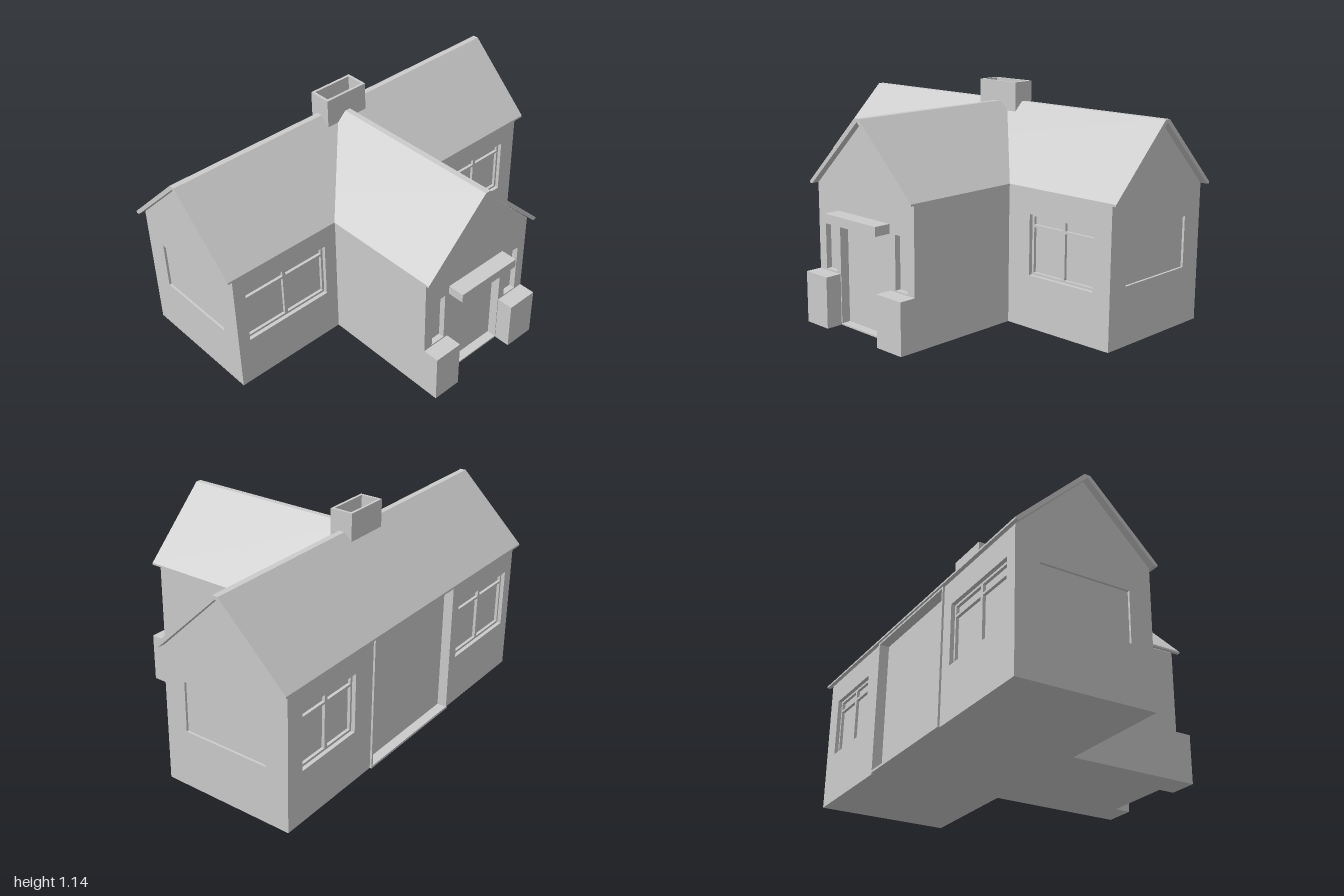
import * as THREE from 'three';

const material = new THREE.MeshStandardMaterial({ color: 0xcccccc, flatShading: true });
const T = 0.05;        // wall thickness
const EAVE = 0.69;     // wall height
const HALF = 0.345;    // half width of both wings

function polygon(points) {
  return new THREE.Shape(points.map(([x, y]) => new THREE.Vector2(x, y)));
}

function rectPath(u0, u1, y0, y1) {
  return polygon([[u0, y0], [u1, y0], [u1, y1], [u0, y1]]);
}

function add(parent, name, geometry) {
  const mesh = new THREE.Mesh(geometry, material);
  mesh.name = name;
  parent.add(mesh);
  return mesh;
}

// Box given by its lower and upper corner
function box(parent, name, [x0, y0, z0], [x1, y1, z1]) {
  const mesh = add(parent, name, new THREE.BoxGeometry(x1 - x0, y1 - y0, z1 - z0));
  mesh.position.set((x0 + x1) / 2, (y0 + y1) / 2, (z0 + z1) / 2);
  return mesh;
}

function slab(parent, name, shape, depth, z) {
  const mesh = add(parent, name, new THREE.ExtrudeGeometry(shape, { depth, bevelEnabled: false }));
  mesh.position.z = z;
  return mesh;
}

// Wall facing +z in its own group at the given distance, then turned to its side.
// Each opening gets a recessed panel, and a window also gets its bars.
function wall(parent, { name, angle, dist, u0, u1, gable = false, openings = [] }) {
  const side = new THREE.Group();
  side.name = name;
  side.rotation.y = angle;
  parent.add(side);
  const top = gable ? [[u1, EAVE], [(u0 + u1) / 2, 1.025], [u0, EAVE]] : [[u1, EAVE], [u0, EAVE]];
  const shape = polygon([[u0, 0], [u1, 0], ...top]);
  openings.forEach(({ a, b, y0, y1, recess, kind }) => {
    shape.holes.push(rectPath(a, b, y0, y1));
    const back = dist - recess;
    box(side, kind + 'Panel', [a, y0, back - 0.01], [b, y1, back]);
    if (kind === 'window') {
      const mid = (a + b) / 2;
      const f = 0.012;
      const front = back + 0.015;
      const frame = rectPath(a, b, y0, y1);
      frame.holes.push(rectPath(a + f, b - f, y0 + f, y1 - f));
      slab(side, 'windowFrame', frame, 0.015, back);
      box(side, 'windowMullion', [mid - 0.009, y0, back], [mid + 0.009, y1, front]);
      box(side, 'windowTransom', [a, y1 - 0.065, back], [b, y1 - 0.053, front]);
    }
  });
  slab(side, name + 'Surface', shape, T, dist - T);
  return side;
}

// Roof slab with a narrow flat ridge, running along local z
function roof(parent, name, length) {
  const profile = polygon([
    [-0.365, 0.69], [-0.348, 0.69], [0, 1.025], [0.348, 0.69], [0.365, 0.69],
    [0.365, 0.7], [0.015, 1.04], [-0.015, 1.04], [-0.365, 0.7],
  ]);
  return slab(parent, name, profile, length, 0);
}

export function createModel() {
  const house = new THREE.Group();
  house.name = 'house';

  // Floor
  box(house, 'mainFloor', [-0.69, 0, -0.96], [-0.002, 0.006, 0.96]);
  box(house, 'wingFloor', [-0.002, 0, -0.34], [0.62, 0.006, 0.34]);

  // Gable ends of the main wing, each with a shallow panel
  for (const s of [1, -1]) {
    const span = (a, b) => (s > 0 ? [a, b] : [-b, -a]);
    const [u0, u1] = span(-0.69, 0);
    const [a, b] = span(-0.57, -0.115);
    wall(house, {
      name: s > 0 ? 'frontGable' : 'backGable', angle: s > 0 ? 0 : Math.PI, dist: 0.965, u0, u1, gable: true,
      openings: [{ a, b, y0: 0.29, y1: 0.545, recess: 0.012, kind: 'blind' }],
    });
  }

  // Long walls, in two pieces on each side, with a window in each piece
  for (const s of [1, -1]) {
    for (const [z0, z1, w0, w1] of [[HALF, 0.965, 0.415, 0.9], [-0.965, -HALF, -0.867, -0.478]]) {
      const span = (a, b) => (s > 0 ? [-b, -a] : [a, b]);
      const [u0, u1] = span(z0, z1);
      const [a, b] = span(w0, w1);
      wall(house, {
        name: s > 0 ? 'leftWall' : 'rightWall', angle: s * Math.PI / 2, dist: s > 0 ? 0 : 0.69, u0, u1,
        openings: [{ a, b, y0: 0.265, y1: 0.567, recess: 0.035, kind: 'window' }],
      });
    }
  }

  // Large framed bay on the right side
  const bay = new THREE.Group();
  bay.name = 'patioBay';
  bay.rotation.y = -Math.PI / 2;
  house.add(bay);
  const bayFrame = rectPath(-HALF, HALF, 0, EAVE);
  bayFrame.holes.push(rectPath(-HALF + 0.01, HALF - 0.01, 0.012, EAVE - 0.01));
  slab(bay, 'patioFrame', bayFrame, 0.06, 0.64);
  box(bay, 'patioPanel', [-HALF, 0, 0.635], [HALF, EAVE, 0.65]);

  // Cross wing: two side walls and the entrance gable
  wall(house, { name: 'wingFrontWall', angle: 0, dist: HALF, u0: 0, u1: 0.62 });
  wall(house, { name: 'wingBackWall', angle: Math.PI, dist: HALF, u0: -0.62, u1: 0 });
  wall(house, {
    name: 'entranceGable', angle: Math.PI / 2, dist: 0.62, u0: -HALF, u1: HALF, gable: true,
    openings: [
      { a: -0.185, b: 0.175, y0: 0.008, y1: 0.53, recess: 0.048, kind: 'door' },
      { a: -0.325, b: -0.215, y0: 0.265, y1: 0.53, recess: 0.03, kind: 'sidelight' },
      { a: 0.215, b: 0.325, y0: 0.265, y1: 0.53, recess: 0.03, kind: 'sidelight' },
    ],
  });

  // Porch piers and canopy
  box(house, 'porchPier', [0.61, 0, 0.19], [0.706, 0.258, HALF]);
  box(house, 'porchPier', [0.61, 0, -HALF], [0.706, 0.258, -0.178]);
  box(house, 'porchCanopy', [0.61, 0.528, -0.178], [0.706, 0.574, 0.19]);

  // Roofs
  const mainRoof = roof(house, 'mainRoof', 2);
  mainRoof.position.set(-HALF, 0, -1);
  const wingRoof = roof(house, 'wingRoof', 1);
  wingRoof.rotation.y = Math.PI / 2;
  wingRoof.position.set(-HALF, 0, 0);

  // Open chimney straddling the ridge
  const flue = rectPath(-0.06, 0.06, -0.123, 0.123);
  flue.holes.push(rectPath(-0.046, 0.046, -0.109, 0.109));
  const chimney = slab(house, 'chimney', flue, 0.16, 0);
  chimney.rotation.x = -Math.PI / 2;
  chimney.position.set(-0.341, 0.98, 0.004);

  return house;
}
